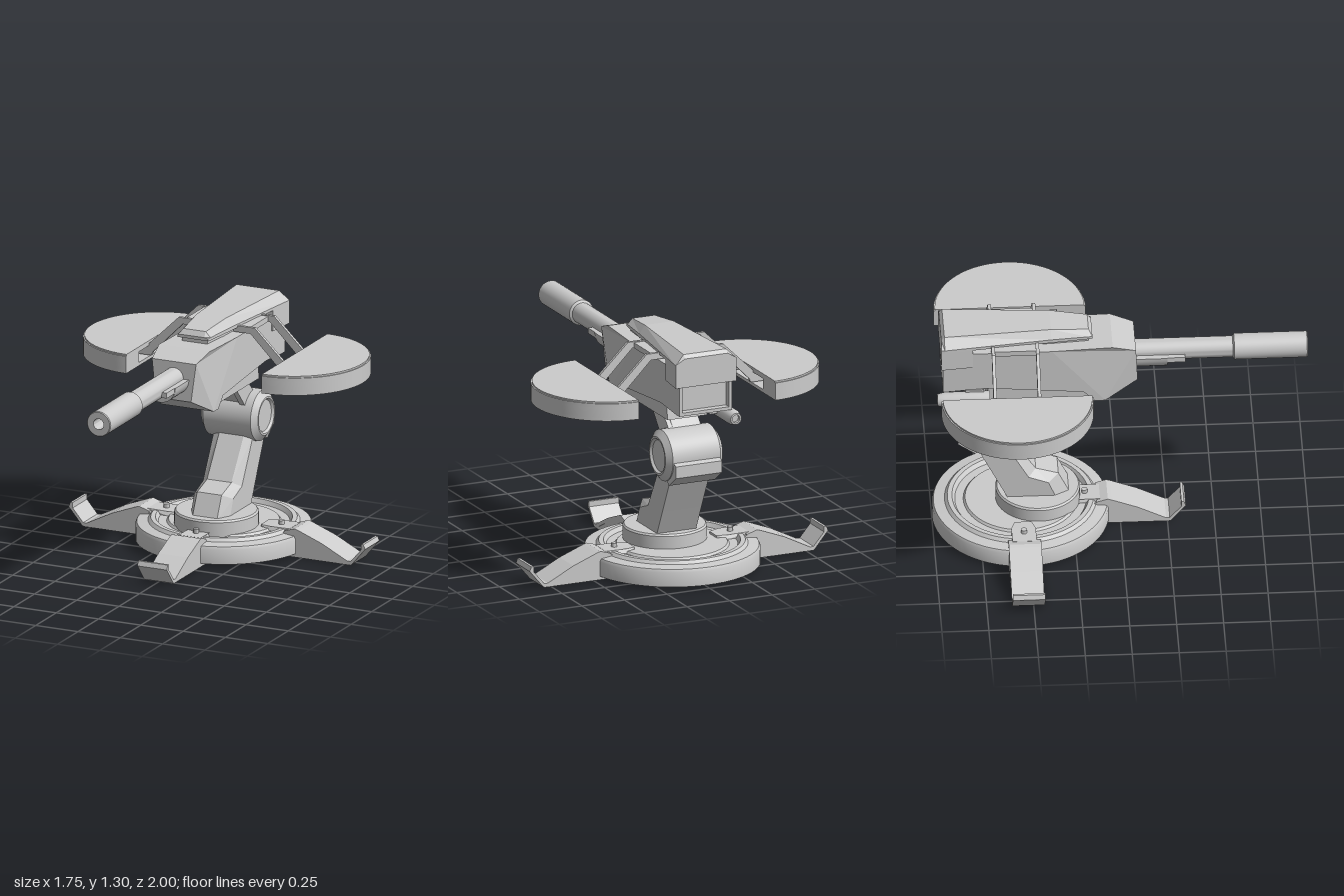
import * as THREE from 'three';
import { toCreasedNormals } from 'three/addons/utils/BufferGeometryUtils.js';

const mat = new THREE.MeshStandardMaterial({ color: 0xcccccc, side: THREE.DoubleSide });
const BASE_Z = -0.528;

function add(parent, name, geo, x = 0, y = 0, z = 0) {
  const m = new THREE.Mesh(geo, mat);
  m.name = name;
  m.position.set(x, y, z);
  parent.add(m);
  return m;
}
const box = (w, h, d) => new THREE.BoxGeometry(w, h, d);
const crease = (g) => toCreasedNormals(g, 0.6);
const lathe = (pts, seg = 64) =>
  crease(new THREE.LatheGeometry(pts.map((p) => new THREE.Vector2(...p)), seg));

// side profile of [z, y, optional half width] spread symmetrically along x
function slab(profile, half) {
  const g = new THREE.ExtrudeGeometry(new THREE.Shape(profile.map((p) => new THREE.Vector2(p[0], p[1]))),
    { depth: 1, bevelEnabled: false });
  const pos = g.attributes.position;
  for (let i = 0; i < pos.count; i++) {
    const z = pos.getX(i), y = pos.getY(i);
    const p = profile.find((q) => Math.abs(q[0] - z) < 1e-5 && Math.abs(q[1] - y) < 1e-5);
    pos.setXYZ(i, (pos.getZ(i) > 0.5 ? -1 : 1) * (p[2] ?? half), y, z);
  }
  g.computeVertexNormals();
  return g;
}

// flat-faced skin through cross-sections, closed at both ends
function loft(rings) {
  const out = [], n = rings[0].length;
  const tri = (a, b, c) => out.push(...a, ...b, ...c);
  for (let r = 0; r < rings.length - 1; r++) {
    for (let i = 0; i < n; i++) {
      const j = (i + 1) % n, a = rings[r], b = rings[r + 1];
      tri(a[i], a[j], b[j]);
      tri(a[i], b[j], b[i]);
    }
  }
  const s = rings[0], e = rings[rings.length - 1];
  for (let i = 1; i < n - 1; i++) {
    tri(s[0], s[i + 1], s[i]);
    tri(e[0], e[i], e[i + 1]);
  }
  const g = new THREE.BufferGeometry();
  g.setAttribute('position', new THREE.Float32BufferAttribute(out, 3));
  g.computeVertexNormals();
  return g;
}

// hollow foot: bent top plate on two side cheeks, pointing along +z
function makeFoot(name) {
  const foot = new THREE.Group();
  foot.name = name;
  add(foot, 'footPlate', slab([[0.40, 0.14], [0.46, 0.158], [0.48, 0.152], [0.62, 0.098], [0.77, 0.022], [0.79, 0.022],
    [0.852, 0.095], [0.852, 0.125], [0.866, 0.125], [0.876, 0.1], [0.795, 0.003], [0.765, 0.003],
    [0.61, 0.08], [0.47, 0.135], [0.40, 0.12]], 0.087));
  const cheek = slab([[0.33, 0], [0.79, 0], [0.77, 0.02], [0.62, 0.095], [0.47, 0.153], [0.40, 0.135], [0.33, 0.1]], 0.008);
  for (const s of [-1, 1]) add(foot, 'footCheek', cheek, s * 0.078, 0, 0);
  add(foot, 'footTongue', slab([[0.24, 0.12, 0.045], [0.24, 0.142, 0.045], [0.30, 0.145, 0.065],
    [0.42, 0.147, 0.065], [0.42, 0.12, 0.065], [0.30, 0.12, 0.065]], 0.065));
  add(foot, 'footPin', crease(new THREE.CylinderGeometry(0.016, 0.016, 0.05, 12)), 0, 0.142, 0.34);
  return foot;
}

// half disc in plan, optionally notched along its straight edge
function halfDisc(height, radius, notch) {
  const s = new THREE.Shape();
  s.absarc(0, 0, radius, -Math.PI / 2, Math.PI / 2, false);
  if (notch) for (const p of [[0, 0.25], [0.07, 0.25], [0.07, -0.25], [0, -0.25]]) s.lineTo(...p);
  s.closePath();
  const g = new THREE.ExtrudeGeometry(s, { depth: height, bevelEnabled: false, curveSegments: 32 });
  return crease(g.rotateX(-Math.PI / 2));
}

export function createModel() {
  const model = new THREE.Group();
  model.name = 'turret';

  // stepped base, hollow underneath
  add(model, 'baseDisc', lathe([[0, 0.1], [0.42, 0.1], [0.43, 0.02], [0.472, 0.02], [0.472, 0.1], [0.464, 0.116],
    [0.405, 0.124], [0.39, 0.141], [0.365, 0.141], [0.35, 0.118], [0.305, 0.118], [0.295, 0.13], [0, 0.13]]), 0, 0, BASE_Z);
  add(model, 'pedestal', lathe([[0.2, 0.1], [0.2, 0.05], [0.225, 0.05], [0.225, 0.2], [0.217, 0.21], [0, 0.21]]), 0, 0, -0.437);
  for (const s of [-1, 1]) {
    add(model, 'socketSide', box(0.02, 0.06, 0.26), s * 0.12, 0.075, -0.437);
    add(model, 'socketEnd', box(0.26, 0.06, 0.02), 0, 0.075, -0.437 + s * 0.12);
  }
  [['frontFoot', 0], ['leftFoot', Math.PI / 2], ['rightFoot', -Math.PI / 2]].forEach(([name, a]) => {
    const foot = makeFoot(name);
    foot.position.z = BASE_Z;
    foot.rotation.y = a;
    model.add(foot);
  });

  // bent lower arm: rows are front, chamfer and back edges as [z, y]
  const armRows = [
    [[-0.27, 0.2], [-0.345, 0.2], [-0.6, 0.2]],
    [[-0.33, 0.325], [-0.385, 0.295], [-0.648, 0.3]],
    [[-0.45, 0.362], [-0.49, 0.335], [-0.672, 0.35]],
    [[-0.615, 0.605], [-0.63, 0.585], [-0.765, 0.54]],
    [[-0.66, 0.67], [-0.67, 0.66], [-0.77, 0.62]],
  ];
  add(model, 'lowerArm', loft(armRows.map(([f, s, b]) => [[-0.062, f], [0.082, f], [0.124, s], [0.124, b], [-0.106, b], [-0.106, s]]
    .map(([x, p]) => [x, p[1], p[0]]))));

  // elbow joint with recessed caps and a rear guard
  const elbow = lathe([[0, -0.155], [0.085, -0.155], [0.095, -0.168], [0.105, -0.168], [0.14, -0.14],
    [0.14, 0.14], [0.105, 0.168], [0.095, 0.168], [0.085, 0.155], [0, 0.155]], 40);
  add(model, 'elbow', elbow.rotateZ(Math.PI / 2), 0, 0.675, -0.7);
  add(model, 'elbowGuard', slab([[-0.74, 0.56], [-0.775, 0.525], [-0.867, 0.59], [-0.867, 0.655], [-0.83, 0.67], [-0.77, 0.68]], 0.135));

  // neck with two forward prongs
  add(model, 'neck', slab([[-0.48, 0.89], [-0.6, 0.76], [-0.7, 0.74], [-0.7, 0.8], [-0.62, 0.89]], 0.07));
  const prong = slab([[-0.465, 0.89], [-0.6, 0.74], [-0.7, 0.74], [-0.69, 0.81], [-0.61, 0.89]], 0.015);
  for (const s of [-1, 1]) add(model, 'neckProng', prong, s * 0.08, 0, 0);

  // gun housing with tapered nose
  add(model, 'housing', slab([[0.08, 1.175, 0.13], [-0.045, 1.215, 0.15], [-0.37, 1.205], [-0.91, 1.205], [-0.91, 0.96],
    [-0.72, 0.975], [-0.2, 0.93], [-0.14, 0.87], [-0.085, 0.87], [0.09, 0.965, 0.105]], 0.155));
  add(model, 'underside', slab([[-0.13, 0.93], [-0.13, 0.872], [-0.72, 0.872], [-0.7, 0.98], [-0.2, 0.98]], 0.115));
  for (const s of [-1, 1]) {
    add(model, 'rearFrameSide', box(0.018, 0.2, 0.05), s * 0.146, 1.06, -0.925);
    add(model, 'rearFrameRail', box(0.31, 0.018, 0.05), 0, 1.06 + s * 0.091, -0.925);
  }

  // tapered roof cover: rows are z, half width, top half width, shoulder height, top height
  const roofRows = [[-0.957, 0.178, 0.125, 1.25, 1.28], [-0.94, 0.178, 0.125, 1.25, 1.3],
    [-0.37, 0.117, 0.085, 1.255, 1.3], [-0.17, 0.094, 0.066, 1.25, 1.28], [-0.15, 0.09, 0.066, 1.248, 1.252]];
  add(model, 'roof', loft(roofRows.map(([z, w, t, m, h]) =>
    [[w, 1.235, z], [w, m, z], [t, h, z], [-t, h, z], [-w, m, z], [-w, 1.235, z]])));
  add(model, 'roofSpacer', slab([[-0.17, 1.24, 0.075], [-0.17, 1.2, 0.075], [-0.8, 1.2, 0.1], [-0.8, 1.24, 0.1]], 0.08));
  add(model, 'roofSkirt', slab([[-0.79, 1.24, 0.161], [-0.79, 1.12, 0.161], [-0.957, 1.12, 0.178], [-0.957, 1.24, 0.178]], 0.17));

  // side shields on paired struts
  const strutShape = new THREE.Shape([[0.1, 1.21], [0.2, 1.21], [0.378, 1.03], [0.385, 1.01], [0.46, 1.01], [0.46, 1.065],
    [0.41, 1.065], [0.225, 1.245], [0.1, 1.245]].map((p) => new THREE.Vector2(...p)));
  const strutGeo = new THREE.ExtrudeGeometry(strutShape, { depth: 0.018, bevelEnabled: false });
  for (const [side, turn] of [['left', 0], ['right', Math.PI]]) {
    const g = new THREE.Group();
    g.name = side + 'Shield';
    g.position.z = -0.565;
    g.rotation.y = turn;
    add(g, 'shieldFloor', halfDisc(0.018, 0.405, false), 0.4, 0.985, 0);
    add(g, 'shieldCore', halfDisc(0.06, 0.405, true), 0.4, 1.003, 0);
    add(g, 'shieldTop', halfDisc(0.018, 0.405, false), 0.4, 1.063, 0);
    add(g, 'shieldLip', halfDisc(0.009, 0.398, false), 0.4, 1.081, 0);
    for (const z of [-0.118, 0.118]) add(g, 'strut', strutGeo, 0, 0, z - 0.009);
    add(g, 'strutBracket', box(0.06, 0.03, 0.22), 0.16, 1.225, 0);
    model.add(g);
  }

  // barrel with hollow muzzle, cradle and lugs
  const barrel = lathe([[0, 0], [0.057, 0], [0.057, 0.6], [0.07, 0.608], [0.07, 0.995], [0.066, 1],
    [0.03, 1], [0.03, 0.88], [0, 0.88]], 36);
  add(model, 'barrel', barrel.rotateX(Math.PI / 2), 0, 1.085, 0);
  const cradle = new THREE.Shape();
  cradle.absarc(0, 0, 0.09, Math.PI, Math.PI * 2, false);
  cradle.absarc(0, 0, 0.057, Math.PI * 2, Math.PI, true);
  cradle.closePath();
  add(model, 'cradle', crease(new THREE.ExtrudeGeometry(cradle, { depth: 0.21, bevelEnabled: false, curveSegments: 8 })), 0, 1.085, 0.04);
  for (const s of [-1, 1]) add(model, 'cradleLug', box(0.03, 0.03, 0.1), s * 0.07, 1.07, 0.295);

  // small rear tube slung under the right side
  const tube = lathe([[0, 0], [0.042, 0], [0.042, 0.24], [0.032, 0.28], [0.022, 0.28], [0.022, 0.26], [0, 0.26]], 16);
  add(model, 'rearTube', tube.rotateX(-Math.PI / 2), -0.165, 0.915, -0.7);
  add(model, 'tubeMount', box(0.08, 0.06, 0.1), -0.12, 0.94, -0.78);

  return model;
}
